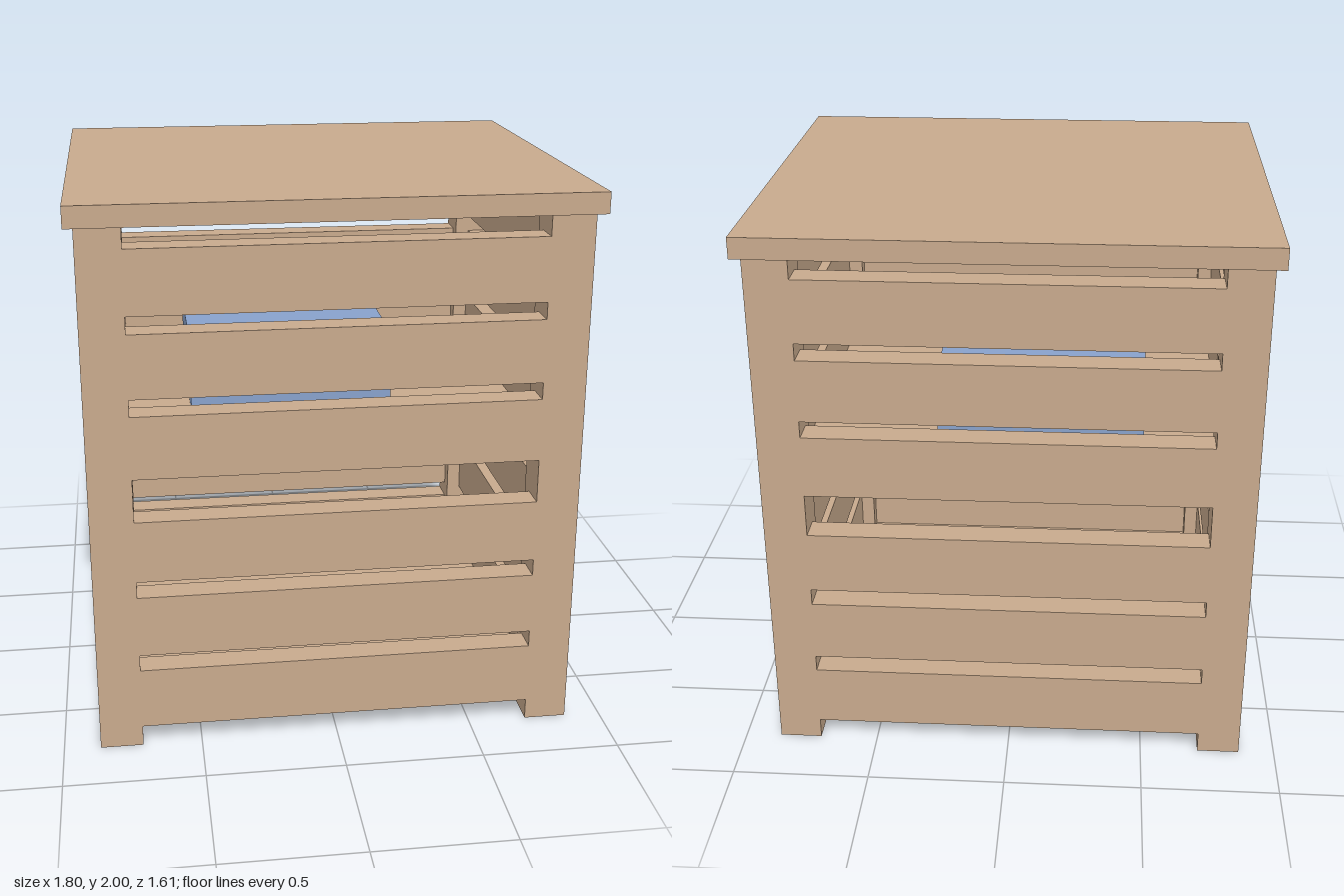
import * as THREE from 'three';

export function createModel() {
  const model = new THREE.Group();
  model.name = 'slattedCrate';
  const wood = new THREE.MeshStandardMaterial({ color: 0xc8aa8d });
  wood.name = 'wood';
  const blue = new THREE.MeshStandardMaterial({ color: 0x88a2cc });
  blue.name = 'blue';

  // Box given by its lower and upper limits
  function block(name, material, [x0, y0, z0], [x1, y1, z1]) {
    const mesh = new THREE.Mesh(new THREE.BoxGeometry(x1 - x0, y1 - y0, z1 - z0), material);
    mesh.position.set((x0 + x1) / 2, (y0 + y1) / 2, (z0 + z1) / 2);
    mesh.name = name;
    model.add(mesh);
  }

  const X = 0.868, Z = 0.773;   // outer half width and half depth
  const post = 0.154, slat = 0.1;
  const px = X - post, pz = Z - post;
  const lidBottom = 1.925;

  // Corner posts
  for (const sx of [-1, 1]) for (const sz of [-1, 1]) {
    const cx = sx * (X - post / 2), cz = sz * (Z - post / 2), h = post / 2;
    block('cornerPost', wood, [cx - h, 0, cz - h], [cx + h, lidBottom, cz + h]);
  }

  // Two tiers of three slats on every side
  for (const base of [0.077, 1.042]) for (let i = 0; i < 3; i++) {
    const y0 = base + i * 0.289, y1 = y0 + 0.228;
    block('frontSlat', wood, [-px, y0, Z - slat], [px, y1, Z]);
    block('backSlat', wood, [-px, y0, -Z], [px, y1, -Z + slat]);
    block('leftSlat', wood, [X - slat, y0, -pz], [X, y1, pz]);
    block('rightSlat', wood, [-X, y0, -pz], [-X + slat, y1, pz]);
  }

  // Floor and middle shelf, sitting inside the slats
  const ix = X - slat, iz = Z - slat;
  block('floorPanel', wood, [-ix, 0.04, -iz], [ix, 0.115, iz]);
  block('middleShelf', wood, [-ix, 1.005, -iz], [ix, 1.08, iz]);

  // Overhanging lid
  block('lid', wood, [-0.9, lidBottom, -0.805], [0.9, 2, 0.805]);

  // Blue box stored on the shelf
  block('storedBox', blue, [-0.48, 1.08, -0.385], [0.285, 1.36, 0.2]);

  return model;
}
